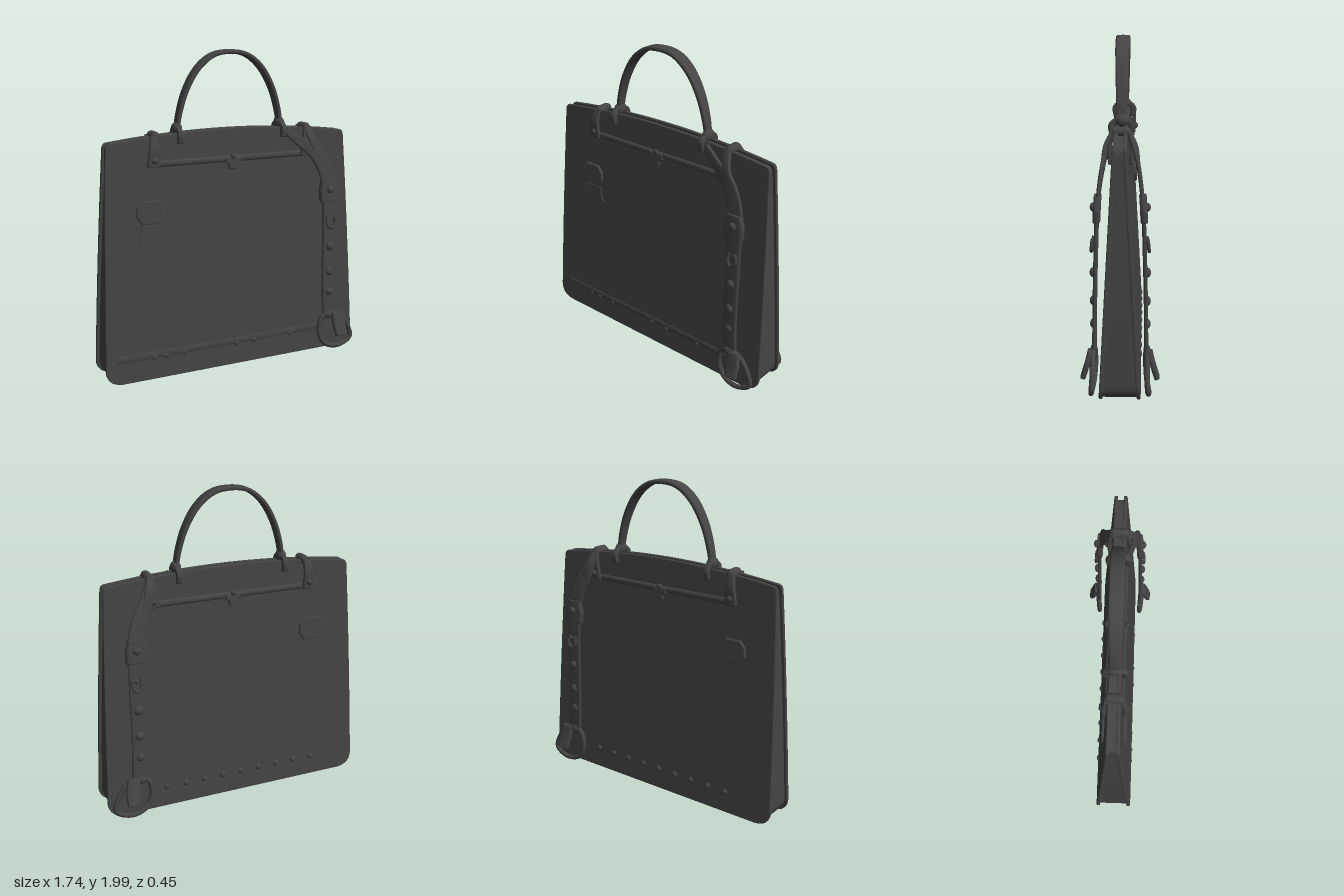
import * as THREE from 'three';

const leather = new THREE.MeshStandardMaterial({ color: 0x444444 });
leather.name = 'charcoal leather';

// half depth of the wedge-shaped body at height y
const halfDepth = (y) => 0.12 - 0.055 * y;
const TILT = Math.atan(0.055);

function add(parent, name, geometry, x = 0, y = 0, z = 0) {
  const mesh = new THREE.Mesh(geometry, leather);
  mesh.name = name;
  mesh.position.set(x, y, z);
  parent.add(mesh);
  return mesh;
}

// rounded band swept along points; width lies along z or across the path in the xy plane
function band(points, widths, thickness, alongZ = false, steps = 40) {
  const curve = new THREE.CatmullRomCurve3(points.map((p) => new THREE.Vector3(...p)));
  const sides = 16, pos = [], index = [];
  const zAxis = new THREE.Vector3(0, 0, 1);
  const soft = (v) => Math.sign(v) * Math.pow(Math.abs(v), 0.5);
  for (let i = 0; i <= steps; i++) {
    const t = i / steps, c = curve.getPoint(t), T = curve.getTangent(t);
    const W = alongZ ? zAxis.clone() : T.clone().cross(zAxis).normalize();
    const N = T.clone().cross(W).normalize();
    const f = t * (widths.length - 1), k = Math.min(Math.floor(f), widths.length - 2);
    const w = THREE.MathUtils.lerp(widths[k], widths[k + 1], f - k) / 2;
    for (let j = 0; j < sides; j++) {
      const a = (j / sides) * Math.PI * 2;
      const p = c.clone().addScaledVector(W, w * soft(Math.cos(a)))
        .addScaledVector(N, (thickness / 2) * soft(Math.sin(a)));
      pos.push(p.x, p.y, p.z);
    }
  }
  for (let i = 0; i < steps; i++) {
    for (let j = 0; j < sides; j++) {
      const a = i * sides + j, b = i * sides + ((j + 1) % sides);
      index.push(a, b, a + sides, b, b + sides, a + sides);
    }
  }
  for (let j = 1; j < sides - 1; j++) {
    const e = steps * sides;
    index.push(0, j + 1, j, e, e + j, e + j + 1);
  }
  const g = new THREE.BufferGeometry();
  g.setAttribute('position', new THREE.Float32BufferAttribute(pos, 3));
  g.setIndex(index);
  g.computeVertexNormals();
  return g;
}

function tube(points, radius, closed = false) {
  const curve = new THREE.CatmullRomCurve3(points.map((p) => new THREE.Vector3(...p)), closed);
  return new THREE.TubeGeometry(curve, 48, radius, 8, closed);
}

// body outline: wide rounded base, narrower arched top
function outline(inset = 0) {
  const b = 0.87 - inset, t = 0.81 - inset, y0 = 0.005 + inset * 0.2, y1 = 1.47 - inset;
  const s = new THREE.Shape();
  s.moveTo(-b + 0.1, y0);
  s.lineTo(b - 0.1, y0);
  s.quadraticCurveTo(b, y0 + 0.01, b, y0 + 0.1);
  s.quadraticCurveTo(b - 0.022, 0.8, t, y1 - 0.03);
  s.quadraticCurveTo(t - 0.005, y1, t - 0.03, y1 + 0.002);
  s.quadraticCurveTo(0, y1 + 0.102, -t + 0.03, y1 + 0.002);
  s.quadraticCurveTo(-t + 0.005, y1, -t, y1 - 0.03);
  s.quadraticCurveTo(-b + 0.022, 0.8, -b, y0 + 0.1);
  s.quadraticCurveTo(-b, y0 + 0.01, -b + 0.1, y0);
  return s;
}

function body(group) {
  // front and back panels, sheared to lean together at the top
  for (const s of [1, -1]) {
    const g = new THREE.ExtrudeGeometry(outline(), {
      depth: 0.012, bevelThickness: 0.005, bevelSize: 0.006, bevelOffset: -0.006, bevelSegments: 2, curveSegments: 16,
    });
    g.translate(0, 0, -0.006);
    const p = g.attributes.position;
    for (let i = 0; i < p.count; i++) p.setZ(i, p.getZ(i) + s * (halfDepth(p.getY(i)) - 0.011));
    g.computeVertexNormals();
    add(group, s > 0 ? 'frontPanel' : 'backPanel', g);
  }
  // gusset filling the sides and base
  const g = new THREE.ExtrudeGeometry(outline(0.018), { depth: 1, bevelEnabled: false, curveSegments: 16 });
  const p = g.attributes.position;
  for (let i = 0; i < p.count; i++) p.setZ(i, (p.getZ(i) * 2 - 1) * (halfDepth(p.getY(i)) - 0.011));
  g.computeVertexNormals();
  add(group, 'gusset', g);
}

function handle(group) {
  const arch = [[-0.35, 1.53, 0], [-0.335, 1.62, 0], [-0.29, 1.76, 0], [-0.21, 1.89, 0], [-0.11, 1.965, 0], [0, 1.983, 0],
    [0.11, 1.965, 0], [0.21, 1.89, 0], [0.29, 1.76, 0], [0.335, 1.62, 0], [0.35, 1.53, 0]];
  add(group, 'handle', band(arch, [0.055, 0.07, 0.085, 0.085, 0.085, 0.07, 0.055], 0.028, true, 64));
  for (const x of [-0.35, 0.35]) {
    add(group, 'handleEnd', new THREE.SphereGeometry(0.035, 16, 12), x, 1.535, 0).scale.set(0.9, 1.1, 1.3);
    add(group, 'handleLoop', band([[x, 1.45, 0.055], [x, 1.51, 0.058], [x, 1.54, 0], [x, 1.51, -0.058], [x, 1.45, -0.055]]
      .map(([a, b, c]) => [a, b, c]), [0.035, 0.035], 0.035, false, 24).rotateY(0));
  }
}

// plate lying on a leaning panel
function plate(parent, name, shape, depth, x, y, s) {
  const b = depth * 0.4;
  const g = new THREE.ExtrudeGeometry(shape, { depth: depth - b, bevelThickness: b, bevelSize: b, bevelOffset: -b, bevelSegments: 2 });
  g.translate(0, 0, -(depth - b) / 2);
  const m = add(parent, name, g, x, y, s * (halfDepth(y) + depth * 0.2));
  m.rotation.x = -s * TILT;
  return m;
}

function polygon(points) {
  return new THREE.Shape(points.map(([x, y]) => new THREE.Vector2(x, y)));
}

function stud(parent, name, r, x, y, z) {
  add(parent, name, new THREE.SphereGeometry(r, 14, 10), x, y, z).scale.z = 0.7;
}

function trim(group, s) {
  // closure bar with a strap looped over the top at each end
  const bar = add(group, 'closureBar', new THREE.CapsuleGeometry(0.02, 1.04, 4, 12).rotateZ(Math.PI / 2), 0, 1.335, s * halfDepth(1.335));
  bar.scale.z = 0.6;
  for (const x of [-0.51, 0.53]) {
    add(group, 'closureStrap', band([[x, 1.5, s * 0.045], [x - 0.008, 1.43, s * 0.062], [x - 0.012, 1.32, s * 0.06]],
      [0.05, 0.06, 0.085], 0.025));
    add(group, 'closurePin', new THREE.SphereGeometry(0.02, 12, 10), x - 0.01, 1.36, s * 0.07);
  }
  // lock
  plate(group, 'lockPlate', polygon([[-0.05, 0.025], [0.05, 0.025], [0.05, -0.01], [0.028, -0.022], [0.025, -0.05], [-0.025, -0.05], [-0.028, -0.022], [-0.05, -0.01]]), 0.02, 0, 1.32, s);
  stud(group, 'lockKnob', 0.018, 0, 1.352, s * 0.062);
  // raised patch
  plate(group, 'patch', polygon([[-0.05, 0.075], [0.05, 0.075], [0.085, 0.035], [0.09, -0.02], [0.055, -0.07], [-0.055, -0.07], [-0.09, -0.02], [-0.085, 0.035]]), 0.018, -0.55, 1.045, s);
  if (s > 0) {
    plate(group, 'lowerPatch', polygon([[-0.065, 0.06], [0.065, 0.06], [0.075, 0], [0.1, -0.04], [0.08, -0.06], [0, -0.052], [-0.08, -0.06], [-0.09, -0.03], [-0.075, 0]]), 0.008, -0.545, 0.91, s);
    const ridge = add(group, 'baseRidge', new THREE.CapsuleGeometry(0.025, 1.38, 4, 12).rotateZ(Math.PI / 2), -0.09, 0.16, halfDepth(0.16) - 0.003);
    ridge.scale.z = 0.3;
    for (const x of [-0.56, -0.48, -0.36, 0, 0.13, 0.39]) stud(group, 'baseStud', 0.016, x, 0.145, halfDepth(0.145));
  } else {
    for (let i = 0; i < 9; i++) stud(group, 'baseStud', 0.02, 0.48 - i * 0.128, 0.14, -halfDepth(0.14));
  }
}

function sideStrap(group, s) {
  // long strap hanging clear of the panel
  const top = s > 0
    ? [[0.37, 1.49, 0.05], [0.47, 1.41, 0.075], [0.565, 1.34, 0.095]]
    : [[0.52, 1.51, 0.04], [0.545, 1.43, 0.07], [0.58, 1.34, 0.095]];
  const path = [...top, [0.635, 1.22, 0.115], [0.655, 1.08, 0.128], [0.66, 0.85, 0.137], [0.66, 0.5, 0.146], [0.67, 0.22, 0.15]];
  add(group, 'sideStrap', band(path.map(([x, y, z]) => [x, y, s * z]), [0.045, 0.07, 0.1, 0.105, 0.1, 0.1, 0.1], 0.024, false, 64));
  // bridge from the closure strap over the top edge
  add(group, 'strapBridge', band([[0.525, 1.5, s * 0.045], [0.55, 1.42, s * 0.085], [0.595, 1.3, s * 0.1]], [0.05, 0.05], 0.025));
  // slider and hook
  add(group, 'slider', band([[0.65, 1.165, s * 0.125], [0.652, 1.09, s * 0.13], [0.655, 1.02, s * 0.133]], [0.1, 0.14, 0.13], 0.042));
  stud(group, 'sliderStud', 0.025, 0.655, 1.1, s * 0.152);
  add(group, 'hook', tube([[0.64, 0.93, 0.148], [0.635, 0.87, 0.158], [0.66, 0.845, 0.162], [0.69, 0.87, 0.16], [0.685, 0.92, 0.155], [0.66, 0.905, 0.155]]
    .map(([x, y, z]) => [x, y, s * z]), 0.01));
  for (const y of [0.72, 0.55, 0.41, 0.25]) stud(group, 'strapStud', 0.028, 0.66, y, s * 0.154);
  // loop and tab at the foot of the strap
  add(group, 'strapRing', tube([[0.62, 0.24, 0.15], [0.595, 0.13, 0.148], [0.64, 0.045, 0.155], [0.74, 0.022, 0.165], [0.835, 0.07, 0.16], [0.82, 0.14, 0.155], [0.75, 0.24, 0.155], [0.69, 0.26, 0.155]]
    .map(([x, y, z]) => [x, y, s * z]), 0.016, true));
  add(group, 'strapTab', band([[0.715, 0.265, s * 0.17], [0.725, 0.19, s * 0.188], [0.73, 0.11, s * 0.212]], [0.08, 0.095, 0.08], 0.032));
}

export function createModel() {
  const bag = new THREE.Group();
  bag.name = 'handbag';
  body(bag);
  handle(bag);
  for (const s of [1, -1]) {
    const face = new THREE.Group();
    face.name = s > 0 ? 'frontFittings' : 'backFittings';
    trim(face, s);
    sideStrap(face, s);
    bag.add(face);
  }
  // pads where the closure straps cross the top edge
  for (const x of [-0.5, 0.53]) {
    add(bag, 'closureCrossing', new THREE.CapsuleGeometry(0.028, 0.06, 4, 12).rotateX(Math.PI / 2), x, 1.5, 0);
  }
  return bag;
}
